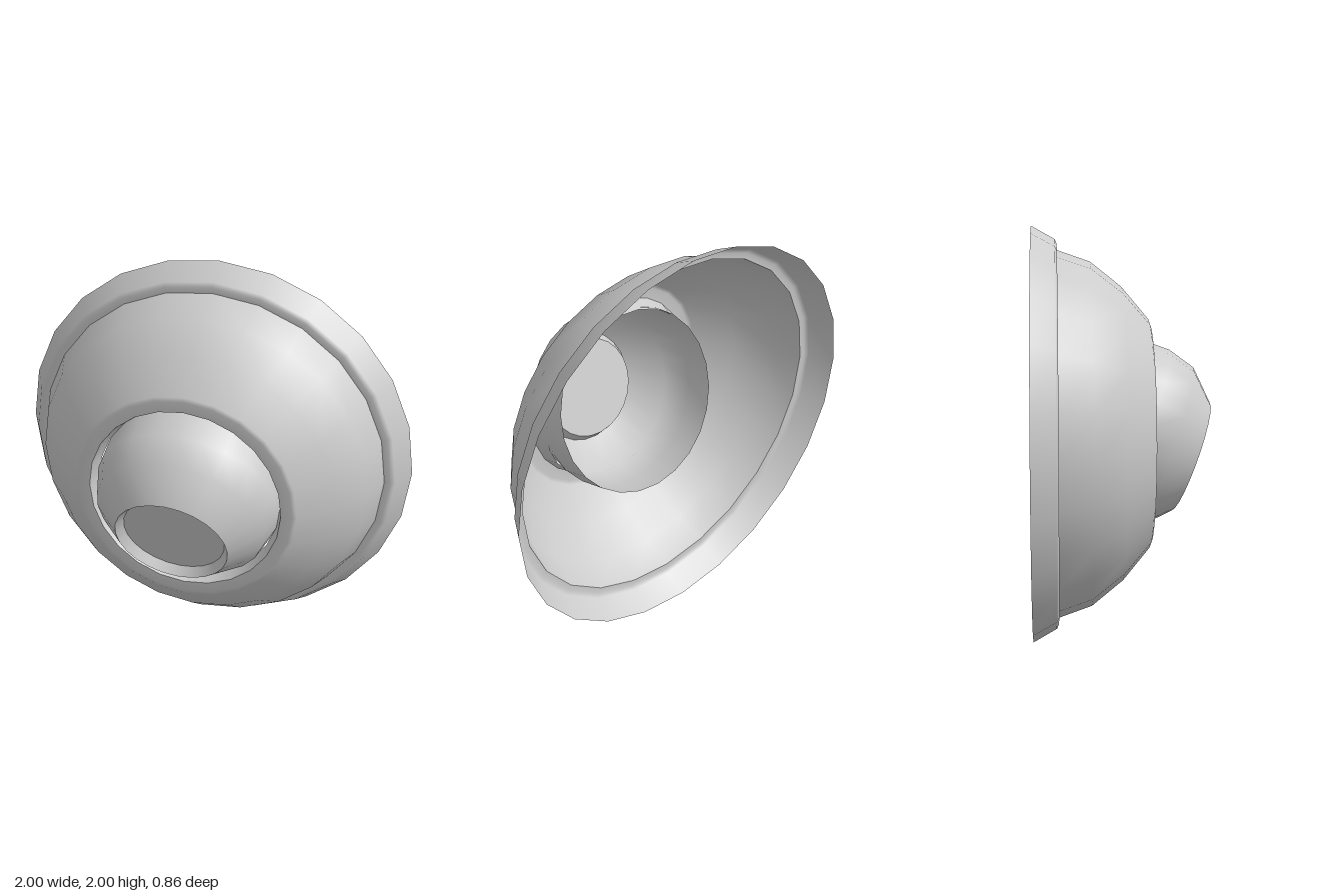
import * as THREE from 'three';

const SEGMENTS = 24;
const material = new THREE.MeshStandardMaterial({ color: 0xcccccc, side: THREE.DoubleSide });

// Revolve [radius, z] points around the z axis, listed from back to front
function turned(name, profile) {
  const points = profile.map(([r, z]) => new THREE.Vector2(r, z));
  const geometry = new THREE.LatheGeometry(points, SEGMENTS).rotateX(Math.PI / 2);
  const mesh = new THREE.Mesh(geometry, material);
  mesh.name = name;
  return mesh;
}

export function createModel() {
  const model = new THREE.Group();
  model.name = 'eyeballDownlight';

  // Fixed trim: flared flange, domed body and the wall inside its opening
  const trim = new THREE.Group();
  trim.name = 'trim';
  trim.position.y = 1;
  trim.add(
    turned('flange', [[1, -0.43], [0.937, -0.318], [0.915, -0.308], [0.885, -0.308]]),
    turned('dome', [[0.885, -0.308], [0.83, -0.15], [0.71, 0], [0.555, 0.13], [0.535, 0.137], [0.48, 0.137]]),
    turned('openingWall', [[0.48, 0.137], [0.457, 0.06]]),
  );
  model.add(trim);

  // Swivelling ball, tipped downwards
  const ball = new THREE.Group();
  ball.name = 'swivelBall';
  ball.position.set(0, 1, 0.02);
  ball.rotation.x = THREE.MathUtils.degToRad(20);
  ball.add(
    turned('ballShell', [[0.455, -0.1], [0.455, 0.06], [0.414, 0.2], [0.278, 0.337]]),
    turned('lensRecess', [[0.278, 0.337], [0.25, 0.29]]),
  );

  // Flat lens at the bottom of the recess
  const lensGeometry = new THREE.CircleGeometry(0.25, SEGMENTS, Math.PI / 2);
  const lens = new THREE.Mesh(lensGeometry, material);
  lens.name = 'lens';
  lens.position.z = 0.29;
  ball.add(lens);
  model.add(ball);

  return model;
}
